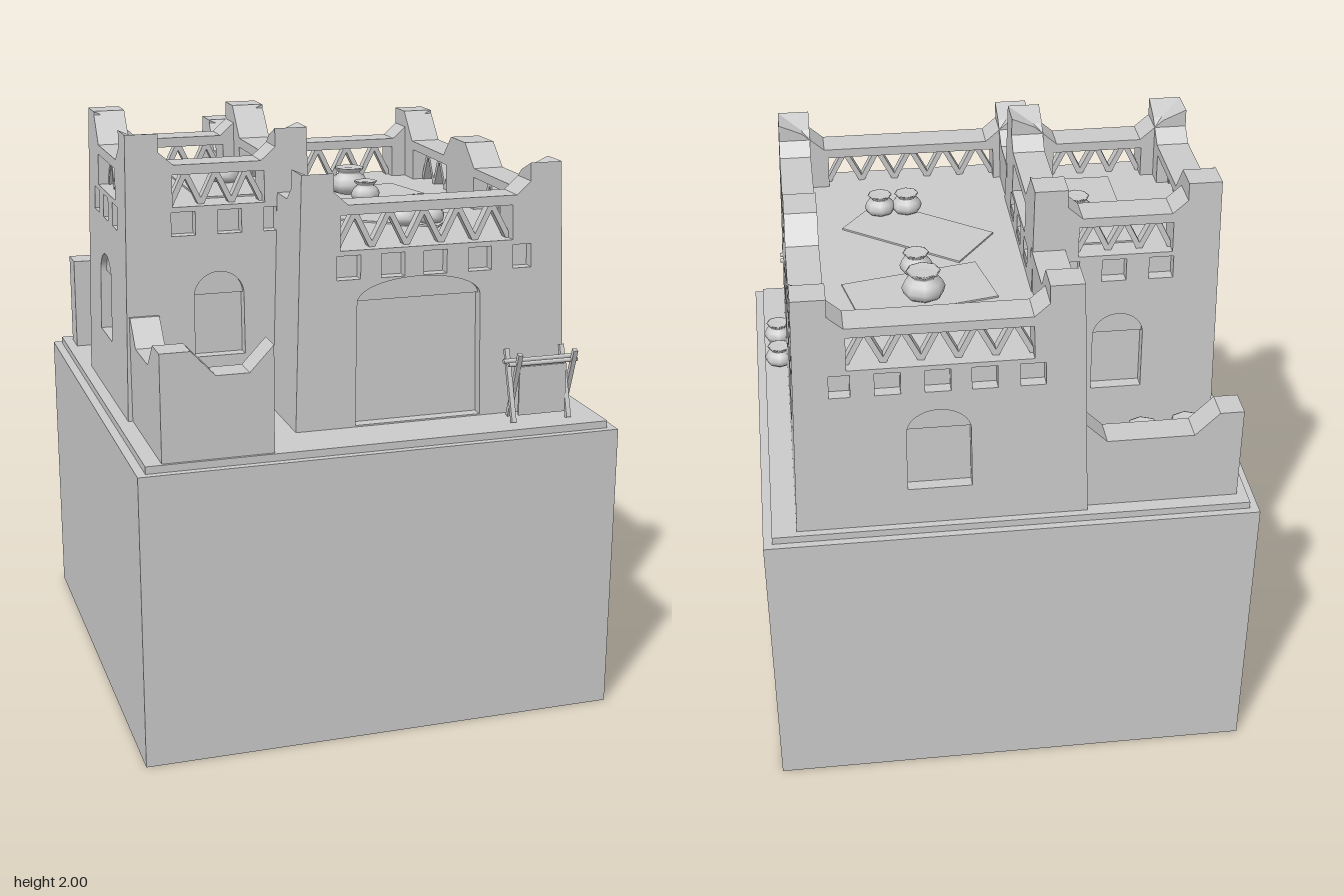
import * as THREE from 'three';

const grey = new THREE.MeshStandardMaterial({ color: 0xcccccc });
const greyBoth = new THREE.MeshStandardMaterial({ color: 0xcccccc, side: THREE.DoubleSide });
const GROUND = 1.035, T = 0.11, RECESS = 0.04;

function add(parent, name, geo, mat = grey) {
  const mesh = new THREE.Mesh(geo, mat);
  mesh.name = name;
  parent.add(mesh);
  return mesh;
}
function box(parent, name, w, h, d, x, y, z) {
  const mesh = add(parent, name, new THREE.BoxGeometry(w, h, d));
  mesh.position.set(x, y, z);
  return mesh;
}
const polygon = pts => new THREE.Shape(pts.map(p => new THREE.Vector2(...p)));
const extrude = (shape, depth) =>
  new THREE.ExtrudeGeometry(shape, { depth, bevelEnabled: false, curveSegments: 12 });
function rectHole(u0, u1, y0, y1) {
  return new THREE.Path([[u0, y0], [u1, y0], [u1, y1], [u0, y1]].map(p => new THREE.Vector2(...p)));
}

// Battered block: four parapet walls with openings around a solid core
function building(parent, name, b) {
  const group = new THREE.Group();
  group.name = name;
  parent.add(group);
  const cx = (b.x0 + b.x1) / 2, cz = (b.z0 + b.z1) / 2;

  // Walls lean inward as they rise
  const taper = geo => {
    const g = geo.index ? geo.toNonIndexed() : geo;
    const p = g.attributes.position;
    for (let i = 0; i < p.count; i++) {
      const dy = b.top - p.getY(i);
      p.setX(i, cx + (p.getX(i) - cx) * (1 + b.kx * dy));
      p.setZ(i, cz + (p.getZ(i) - cz) * (1 + b.kz * dy));
    }
    g.computeVertexNormals();
    return g;
  };
  // Puts a panel of thickness t on a side, starting "inset" out from the inner face
  const place = (geo, side, t, inset = 0) => {
    if (side === 'front') geo.translate(0, 0, b.z1 - T + inset);
    if (side === 'back') geo.translate(0, 0, b.z0 + T - inset - t);
    if (side === 'left') geo.rotateY(-Math.PI / 2).translate(b.x1 - T + inset + t, 0, 0);
    if (side === 'right') geo.rotateY(-Math.PI / 2).translate(b.x0 + T - inset, 0, 0);
    return taper(geo);
  };

  const low = b.top - 0.105, railBottom = low - 0.033;
  for (const [side, s] of Object.entries(b.sides)) {
    const alongX = side === 'front' || side === 'back';
    const [u0, u1] = alongX ? [b.x0, b.x1] : [b.z0, b.z1];
    const start = alongX ? [[0, 0.105], [0.08, 0.07], [0.16, 0]] : [[0, 0.105], [0.1, 0.105], [0.19, 0]];
    const crest = [
      ...start.map(([u, h]) => [u0 + u, low + h]),
      ...(s.crest || []).map(([u, h]) => [u, low + h]),
      [u1 - 0.16, low], [u1 - 0.08, low + 0.07], [u1, b.top]];
    const shape = polygon([[u1, GROUND - 0.005], [u0, GROUND - 0.005], ...crest]);

    // Beam sockets
    for (const u of s.sockets || [])
      shape.holes.push(rectHole(u - 0.04, u + 0.04, b.roof - 0.097, b.roof - 0.017));

    // Arched windows and door, with a shallower panel filling the arch
    for (const [u, w, y0, spring, top] of s.openings || []) {
      const hole = new THREE.Path();
      hole.moveTo(u - w / 2, y0);
      hole.lineTo(u + w / 2, y0);
      hole.lineTo(u + w / 2, spring);
      hole.absellipse(u, spring, w / 2, top - spring, 0, Math.PI);
      shape.holes.push(hole);
      const arch = new THREE.Shape();
      arch.absellipse(u, spring, w / 2, top - spring, 0, Math.PI);
      add(group, side + 'ArchPanel', place(extrude(arch, T - 0.02), side, T - 0.02));
    }

    // Zigzag lattices under the parapet rail
    for (const [a, c] of s.lattices || []) {
      shape.holes.push(rectHole(a, c, b.roof, railBottom));
      const n = 2 * Math.round((c - a) / 0.115), step = (c - a) / n, h = railBottom - b.roof;
      for (let i = 0; i < n; i++) {
        const bar = new THREE.BoxGeometry(0.018, Math.hypot(step, h), 0.035);
        bar.rotateZ((i % 2 ? 1 : -1) * Math.atan2(step, h));
        bar.translate(a + (i + 0.5) * step, b.roof + h / 2, 0.0175);
        add(group, side + 'LatticeBar', place(bar, side, 0.035, 0.04));
      }
    }
    add(group, side + 'Wall', place(extrude(shape, T), side, T));
  }

  // Core closes the recesses and forms the roof deck
  const h = b.roof - GROUND;
  const core = new THREE.BoxGeometry(b.x1 - b.x0 - 2 * RECESS, h, b.z1 - b.z0 - 2 * RECESS);
  add(group, 'roofDeck', taper(core.translate(cx, GROUND + h / 2, cz)));
}

// Round jar, eight-sided
function pot(parent, x, y, z, r) {
  const profile = [[0, 0], [0.6, 0], [0.92, 0.25], [1, 0.55], [0.85, 0.88], [0.58, 1.08],
    [0.6, 1.18], [0.8, 1.36], [0.7, 1.4], [0.45, 1.3], [0, 1.36]];
  const geo = new THREE.LatheGeometry(profile.map(p => new THREE.Vector2(p[0] * r, p[1] * r)), 8);
  add(parent, 'pot', geo).position.set(x, y, z);
}

export function createModel() {
  const model = new THREE.Group();
  model.name = 'adobeHouse';

  // Plinth: hollow skirt, open below, with a rim and a slab on top
  const skirt = new THREE.BoxGeometry(1.65, 1.01, 1.65);
  const idx = Array.from(skirt.index.array);
  skirt.setIndex([...idx.slice(0, 12), ...idx.slice(24)]);
  skirt.clearGroups();
  add(model, 'plinthSkirt', skirt, greyBoth).position.y = 0.505;
  const rim = polygon([[-0.825, -0.825], [0.825, -0.825], [0.825, 0.825], [-0.825, 0.825]]);
  rim.holes.push(rectHole(-0.77, 0.77, -0.77, 0.77));
  add(model, 'plinthRim', new THREE.ShapeGeometry(rim).rotateX(-Math.PI / 2), greyBoth).position.y = 1.01;
  box(model, 'groundSlab', 1.59, 0.025, 1.6, 0, 1.0225, 0);

  const mainSockets = [-0.055, 0.095, 0.24, 0.395, 0.55];
  building(model, 'mainBlock', {
    x0: -0.22, x1: 0.685, z0: -0.75, z1: 0.59, top: 1.89, roof: 1.635, kx: 0.073, kz: 0.044,
    sides: {
      front: { sockets: mainSockets, lattices: [[-0.085, 0.51]], openings: [[0.185, 0.42, 1.04, 1.46, 1.535]] },
      back: { sockets: mainSockets, lattices: [[-0.06, 0.52]], openings: [[0.24, 0.2, 1.17, 1.39, 1.47]] },
      left: {
        crest: [[-0.22, 0], [-0.14, 0.08], [0, 0.08], [0.085, 0]],
        sockets: [-0.62, -0.41, -0.21, 0, 0.24, 0.45],
        lattices: [[-0.55, -0.19], [0.08, 0.4]],
        openings: [[-0.295, 0.2, 1.17, 1.39, 1.47], [0.18, 0.19, 1.17, 1.39, 1.47]],
      },
      right: { crest: [[-0.32, 0], [-0.31, -0.1], [0.28, -0.1], [0.29, 0]] },
    },
  });

  const towerSockets = [-0.545, -0.39, -0.235], sideSockets = [-0.19, -0.03, 0.13];
  building(model, 'tower', {
    x0: -0.735, x1: -0.12, z0: -0.345, z1: 0.315, top: 2, roof: 1.755, kx: 0.07, kz: 0.066,
    sides: {
      front: { sockets: towerSockets, lattices: [[-0.58, -0.27]], openings: [[-0.43, 0.165, 1.24, 1.45, 1.53]] },
      back: { sockets: towerSockets, lattices: [[-0.58, -0.27]], openings: [[-0.41, 0.165, 1.24, 1.45, 1.53]] },
      left: { sockets: sideSockets, lattices: [[-0.16, 0.14]] },
      right: { sockets: sideSockets, lattices: [[-0.16, 0.14]], openings: [[-0.04, 0.19, 1.24, 1.45, 1.53]] },
    },
  });

  // Courtyard walls
  const yardWall = (name, crest) => {
    const pts = [[crest[crest.length - 1][0], GROUND - 0.005], [crest[0][0], GROUND - 0.005], ...crest];
    return add(model, name, extrude(polygon(pts), 0.1));
  };
  yardWall('frontYardWall', [[-0.74, 1.395], [-0.64, 1.395], [-0.56, 1.31], [-0.45, 1.31], [-0.37, 1.395]])
    .position.z = 0.69;
  const sideYard = yardWall('sideYardWall',
    [[0.25, 1.395], [0.34, 1.395], [0.42, 1.31], [0.61, 1.31], [0.69, 1.395], [0.785, 1.395]]);
  sideYard.rotation.y = -Math.PI / 2;
  sideYard.position.x = -0.64;
  yardWall('backYardWall',
    [[-0.76, 1.37], [-0.68, 1.37], [-0.6, 1.29], [-0.31, 1.29], [-0.23, 1.37], [-0.15, 1.37]])
    .position.z = -0.75;

  // Pots on the ground and the roofs
  const mainRoof = 1.635, towerRoof = 1.755;
  for (const p of [
    [-0.65, GROUND, -0.46, 0.078], [-0.495, GROUND, -0.46, 0.073],
    [-0.56, GROUND, 0.51, 0.075], [-0.42, GROUND, 0.51, 0.055],
    [0.74, GROUND, 0.25, 0.054], [0.74, GROUND, 0.415, 0.054],
    [0.245, mainRoof, -0.34, 0.073], [0.255, mainRoof, -0.175, 0.056],
    [0.25, mainRoof, 0.26, 0.054], [0.345, mainRoof, 0.26, 0.054],
    [-0.305, towerRoof, -0.065, 0.056]]) pot(model, ...p);

  // Rugs
  box(model, 'rug', 0.47, 0.006, 0.24, 0.255, mainRoof + 0.003, -0.305).rotation.y = 0.21;
  box(model, 'rug', 0.475, 0.006, 0.235, 0.225, mainRoof + 0.003, 0.105).rotation.y = -0.635;
  box(model, 'rug', 0.24, 0.006, 0.47, -0.345, towerRoof + 0.003, -0.035);

  // Drying rack: crossed legs, two rails and a hanging cloth
  const rack = new THREE.Group();
  rack.name = 'dryingRack';
  rack.position.set(0.59, GROUND, 0.69);
  model.add(rack);
  for (const x of [-0.1, 0.1])
    for (const s of [-1, 1])
      box(rack, 'rackLeg', 0.016, 0.25, 0.016, x + s * 0.008, 0.12, 0).rotation.x = s * 0.33;
  for (const z of [-0.022, 0.022]) {
    const rail = add(rack, 'rackRail', new THREE.CylinderGeometry(0.008, 0.008, 0.25, 8));
    rail.rotation.z = Math.PI / 2;
    rail.position.set(0, 0.2, z);
  }
  box(rack, 'cloth', 0.17, 0.17, 0.008, 0, 0.105, 0.022);
  box(rack, 'clothFold', 0.17, 0.008, 0.044, 0, 0.19, 0);

  model.rotation.y = -0.009;
  return model;
}
